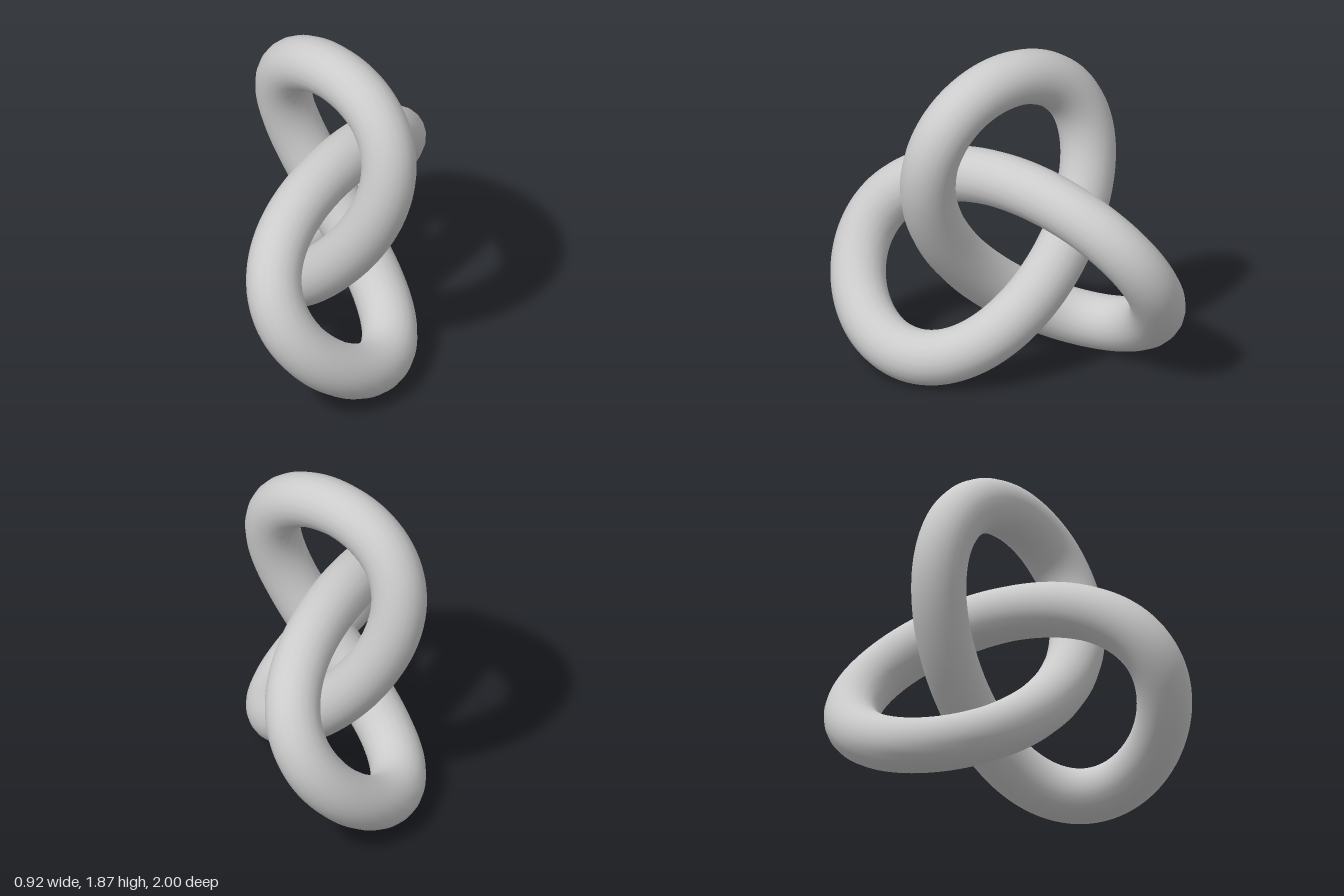
import * as THREE from 'three';

const SCALE = 0.309;   // size of the knot's centre line
const RADIUS = 0.153;  // thickness of the tube
const CENTRE_Y = 0.79; // height of the threefold axis, which runs along x

// Closed trefoil centre line, one lobe pointing up
class TrefoilCurve extends THREE.Curve {
  getPoint(u, target = new THREE.Vector3()) {
    const t = u * Math.PI * 2;
    return target.set(
      -SCALE * Math.sin(3 * t),
      CENTRE_Y + SCALE * (2 * Math.cos(2 * t) - Math.cos(t)),
      SCALE * (Math.sin(t) + 2 * Math.sin(2 * t))
    );
  }
}

export function createModel() {
  const group = new THREE.Group();
  group.name = 'trefoilKnot';

  // Smooth round tube swept along the knot
  const tube = new THREE.Mesh(
    new THREE.TubeGeometry(new TrefoilCurve(), 256, RADIUS, 20, true),
    new THREE.MeshStandardMaterial({ color: 0xcccccc })
  );
  tube.name = 'knotTube';
  group.add(tube);

  return group;
}
